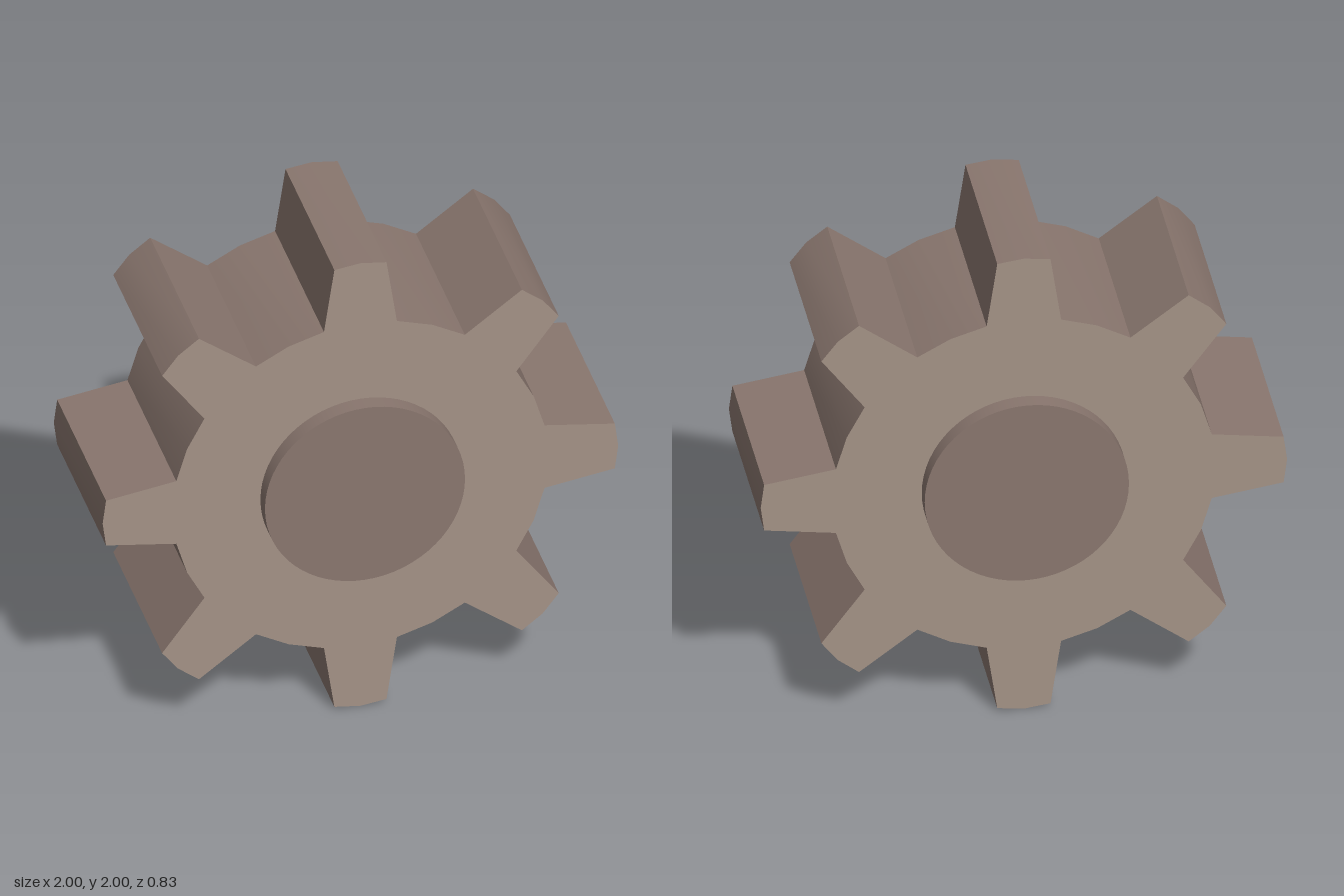
import * as THREE from 'three';
import { toCreasedNormals } from 'three/addons/utils/BufferGeometryUtils.js';

const TEETH = 8;
const ROOT_R = 0.728, TIP_R = 0.992, CREST_R = 1;
const ROOT_ANGLE = THREE.MathUtils.degToRad(11.2);
const TIP_ANGLE = THREE.MathUtils.degToRad(5.85);
const GEAR_DEPTH = 0.7;
const HUB_R = 0.388, HUB_DEPTH = 0.83;

// Outline of the gear: each tooth has a slightly crowned tip and a two-facet valley after it
function gearOutline() {
  const points = [];
  const add = (r, a) => points.push(new THREE.Vector2(r * Math.cos(a), r * Math.sin(a)));
  const pitch = (Math.PI * 2) / TEETH;
  for (let i = 0; i < TEETH; i++) {
    const a = i * pitch;
    add(ROOT_R, a - ROOT_ANGLE);
    add(TIP_R, a - TIP_ANGLE);
    add(CREST_R, a);
    add(TIP_R, a + TIP_ANGLE);
    add(ROOT_R, a + ROOT_ANGLE);
    add(ROOT_R, a + pitch / 2);
  }
  return new THREE.Shape(points);
}

export function createModel() {
  const group = new THREE.Group();
  const faceMaterial = new THREE.MeshStandardMaterial({ color: 0xa39286 });
  const darkMaterial = new THREE.MeshStandardMaterial({ color: 0x89766e });

  // Toothed wheel: pale end faces, darker rim
  const gearGeometry = new THREE.ExtrudeGeometry(gearOutline(), { depth: GEAR_DEPTH, bevelEnabled: false });
  gearGeometry.translate(0, 0, -GEAR_DEPTH / 2);
  const gear = new THREE.Mesh(toCreasedNormals(gearGeometry, 0.5), [faceMaterial, darkMaterial]);
  gear.name = 'gearWheel';
  gear.position.y = 1;

  // Round hub standing proud of both faces
  const hubGeometry = new THREE.CylinderGeometry(HUB_R, HUB_R, HUB_DEPTH, 64);
  hubGeometry.rotateX(Math.PI / 2);
  const hub = new THREE.Mesh(hubGeometry, darkMaterial);
  hub.name = 'hub';
  hub.position.y = 1;

  group.add(gear, hub);
  return group;
}
